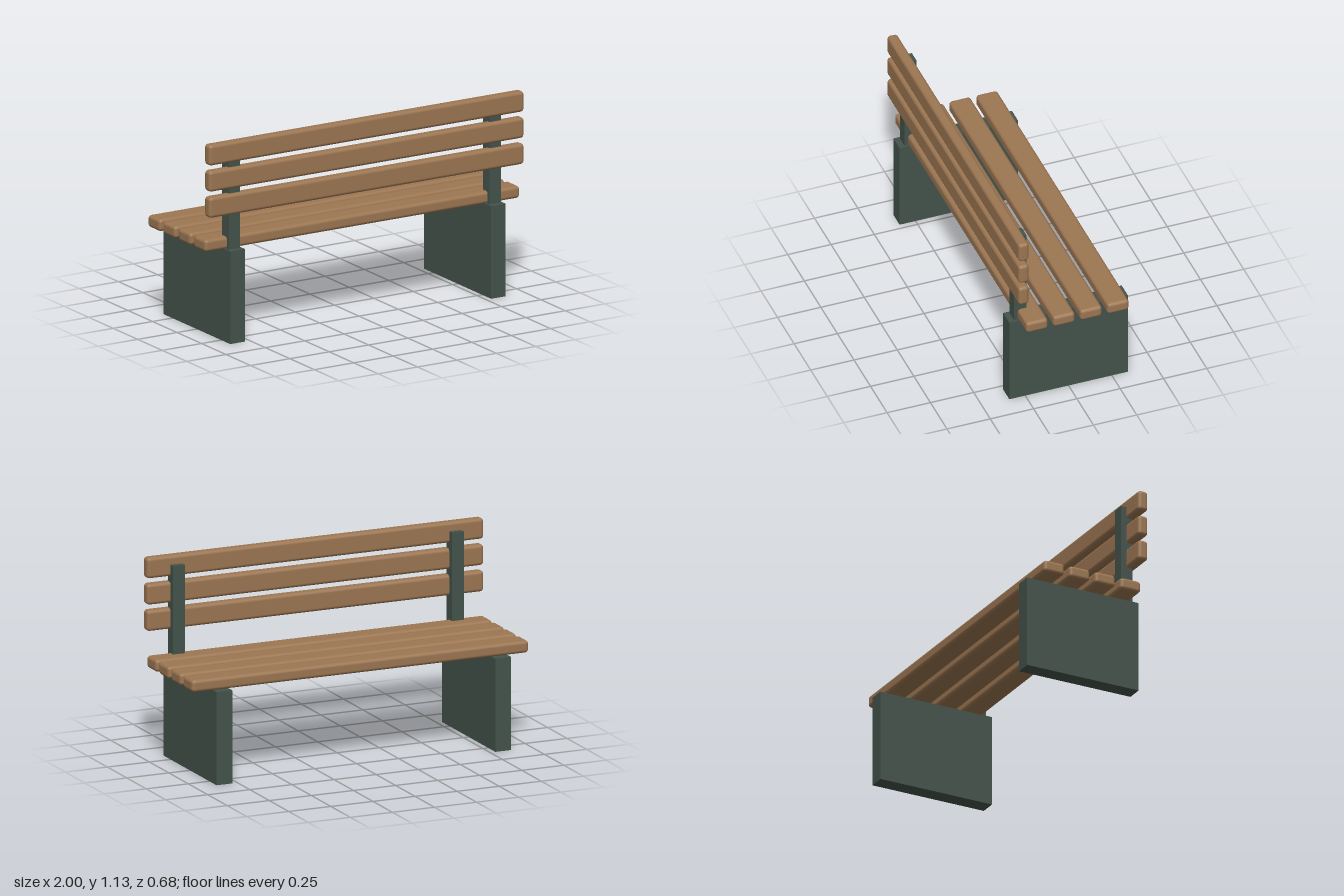
import * as THREE from 'three';
import { RoundedBoxGeometry } from 'three/addons/geometries/RoundedBoxGeometry.js';

export function createModel() {
  const bench = new THREE.Group();
  bench.name = 'bench';
  const wood = new THREE.MeshStandardMaterial({ color: 0x9c7652 });
  const green = new THREE.MeshStandardMaterial({ color: 0x44534b });

  const add = (name, geometry, material, x, y, z) => {
    const mesh = new THREE.Mesh(geometry, material);
    mesh.name = name;
    mesh.position.set(x, y, z);
    bench.add(mesh);
  };

  // Slab legs with a backrest post standing on each
  const legGeo = new THREE.BoxGeometry(0.093, 0.52, 0.684);
  const postGeo = new THREE.BoxGeometry(0.07, 0.56, 0.07);
  for (const [side, s] of [['left', 1], ['right', -1]]) {
    add(side + 'Leg', legGeo, green, s * 0.828, 0.26, 0);
    add(side + 'BackPost', postGeo, green, s * 0.828, 0.8, 0.275);
  }

  // Four seat slats
  const seatGeo = new RoundedBoxGeometry(2, 0.068, 0.125, 3, 0.019);
  for (let i = 0; i < 4; i++) {
    add('seatSlat' + (i + 1), seatGeo, wood, 0, 0.553, 0.227 - i * 0.156);
  }

  // Three backrest slats
  const backGeo = new RoundedBoxGeometry(2, 0.116, 0.06, 3, 0.019);
  for (let i = 0; i < 3; i++) {
    add('backSlat' + (i + 1), backGeo, wood, 0, 0.778 + i * 0.147, 0.304);
  }

  return bench;
}
